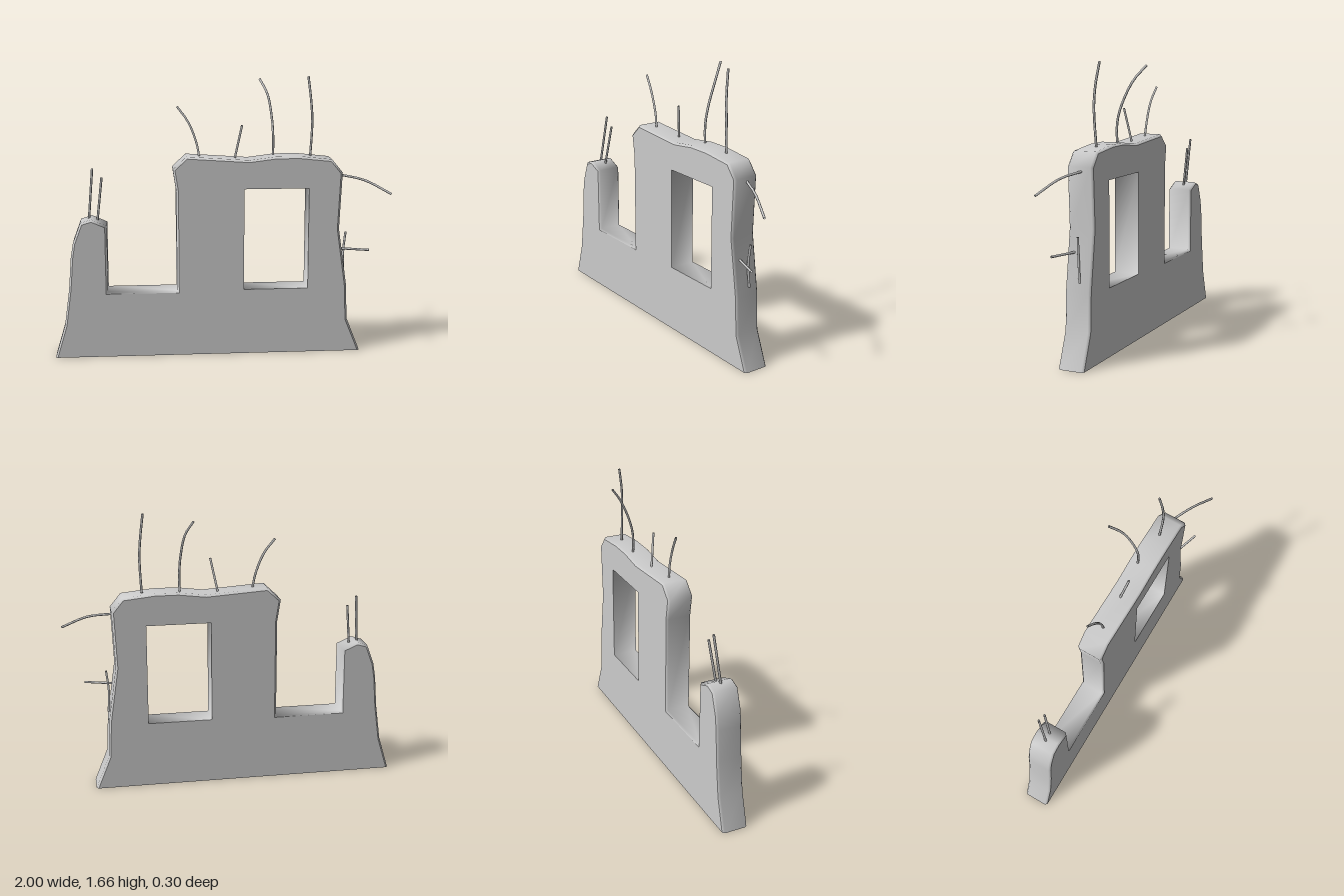
import * as THREE from 'three';

const FRONT = 0.115, BACK = -0.04, BEVEL = 0.012;

// Ruin outline from the left foot over the top to the right foot (x, y)
const OUTLINE = [
  [-1, 0], [-0.94, 0.2], [-0.91, 0.42], [-0.895, 0.61], [-0.88, 0.7], [-0.835, 0.82],
  [-0.77, 0.84], [-0.68, 0.8], [-0.68, 0.4], [-0.27, 0.4], [-0.27, 1], [-0.29, 1.13],
  [-0.21, 1.205], [0.16, 1.18], [0.32, 1.2], [0.46, 1.2], [0.65, 1.18], [0.715, 1.1],
  [0.7, 0.76], [0.75, 0.42], [0.76, 0.2], [0.84, 0],
].map(([x, y]) => new THREE.Vector2(x, y));

const WINDOW = [[0.13, 0.4], [0.515, 0.4], [0.515, 1.01], [0.13, 1.01]]
  .map(([x, y]) => new THREE.Vector2(x, y));

// Move a clockwise open outline inward; the feet stay on the ground
function inset(pts, d) {
  return pts.map((p, i) => {
    if (i === 0) return new THREE.Vector2(p.x + d, 0);
    if (i === pts.length - 1) return new THREE.Vector2(p.x - d, 0);
    const a = p.clone().sub(pts[i - 1]).normalize();
    const b = pts[i + 1].clone().sub(p).normalize();
    const n = new THREE.Vector2(a.y + b.y, -a.x - b.x).normalize();
    return p.clone().addScaledVector(n, d / Math.max(0.5, n.x * a.y - n.y * a.x));
  });
}

// Smooth strip joining rows of points, each row at its own z
function strip(rows, closed) {
  const n = rows[0].pts.length, pos = [], idx = [];
  rows.forEach(({ pts, z }) => pts.forEach((p) => pos.push(p.x, p.y, z)));
  for (let r = 0; r < rows.length - 1; r++) {
    for (let i = 0; i < (closed ? n : n - 1); i++) {
      const a = r * n + i, b = r * n + (i + 1) % n;
      idx.push(a, a + n, b, b, a + n, b + n);
    }
  }
  const g = new THREE.BufferGeometry();
  g.setAttribute('position', new THREE.Float32BufferAttribute(pos, 3));
  g.setIndex(idx);
  g.computeVertexNormals();
  return g;
}

// Bent bars sticking out of the broken edges
const BARS = [
  [[-0.13, 1.18, 0.04], [-0.145, 1.27, 0.035], [-0.195, 1.4, 0.03], [-0.26, 1.49, 0.018]],
  [[0.078, 1.17, 0.025], [0.12, 1.38, 0.058]],
  [[0.31, 1.18, 0.01], [0.31, 1.31, 0.01], [0.305, 1.41, -0.015], [0.285, 1.55, -0.08], [0.245, 1.635, -0.145]],
  [[0.53, 1.18, 0.03], [0.538, 1.4, 0.04], [0.53, 1.52, 0.036], [0.515, 1.66, 0.015]],
  [[0.7, 1.077, 0.025], [0.85, 1.05, 0.085], [1, 0.975, 0.148]],
  [[0.71, 0.632, 0.07], [0.88, 0.632, 0.125]],
  [[0.755, 0.725, 0.03], [0.742, 0.6, 0.034], [0.748, 0.47, 0.026]],
  [[-0.787, 0.81, 0.037], [-0.762, 1.125, -0.005]],
  [[-0.737, 0.81, 0.032], [-0.708, 1.07, -0.005]],
];

export function createModel() {
  const group = new THREE.Group();
  const mat = new THREE.MeshStandardMaterial({ color: 0xcccccc, side: THREE.DoubleSide });
  const add = (name, geometry) => {
    const mesh = new THREE.Mesh(geometry, mat);
    mesh.name = name;
    group.add(mesh);
    return mesh;
  };

  // Flat wall faces with the window opening
  const faceLine = inset(OUTLINE, BEVEL);
  const shape = new THREE.Shape(faceLine);
  shape.holes.push(new THREE.Path(WINDOW));
  const face = new THREE.ShapeGeometry(shape);
  add('wallFront', face).position.z = FRONT;
  const back = add('wallBack', new THREE.ShapeGeometry(
    (() => {
      const mirrored = new THREE.Shape(faceLine.map((p) => new THREE.Vector2(-p.x, p.y)));
      mirrored.holes.push(new THREE.Path(WINDOW.map((p) => new THREE.Vector2(-p.x, p.y))));
      return mirrored;
    })()));
  back.rotation.y = Math.PI;
  back.position.z = BACK;

  // Bevelled broken edge, open underneath
  add('wallEdge', strip([
    { pts: faceLine, z: FRONT },
    { pts: OUTLINE, z: FRONT - BEVEL },
    { pts: OUTLINE, z: BACK + BEVEL },
    { pts: faceLine, z: BACK },
  ], false));

  // Inside of the window opening
  add('windowReveal', strip([
    { pts: WINDOW, z: FRONT },
    { pts: WINDOW, z: BACK },
  ], true));

  // Reinforcing bars
  BARS.forEach((pts, i) => {
    const curve = new THREE.CatmullRomCurve3(pts.map((p) => new THREE.Vector3(...p)));
    add(`bar${i + 1}`, new THREE.TubeGeometry(curve, (pts.length - 1) * 3, 0.007, 6));
  });
  return group;
}
